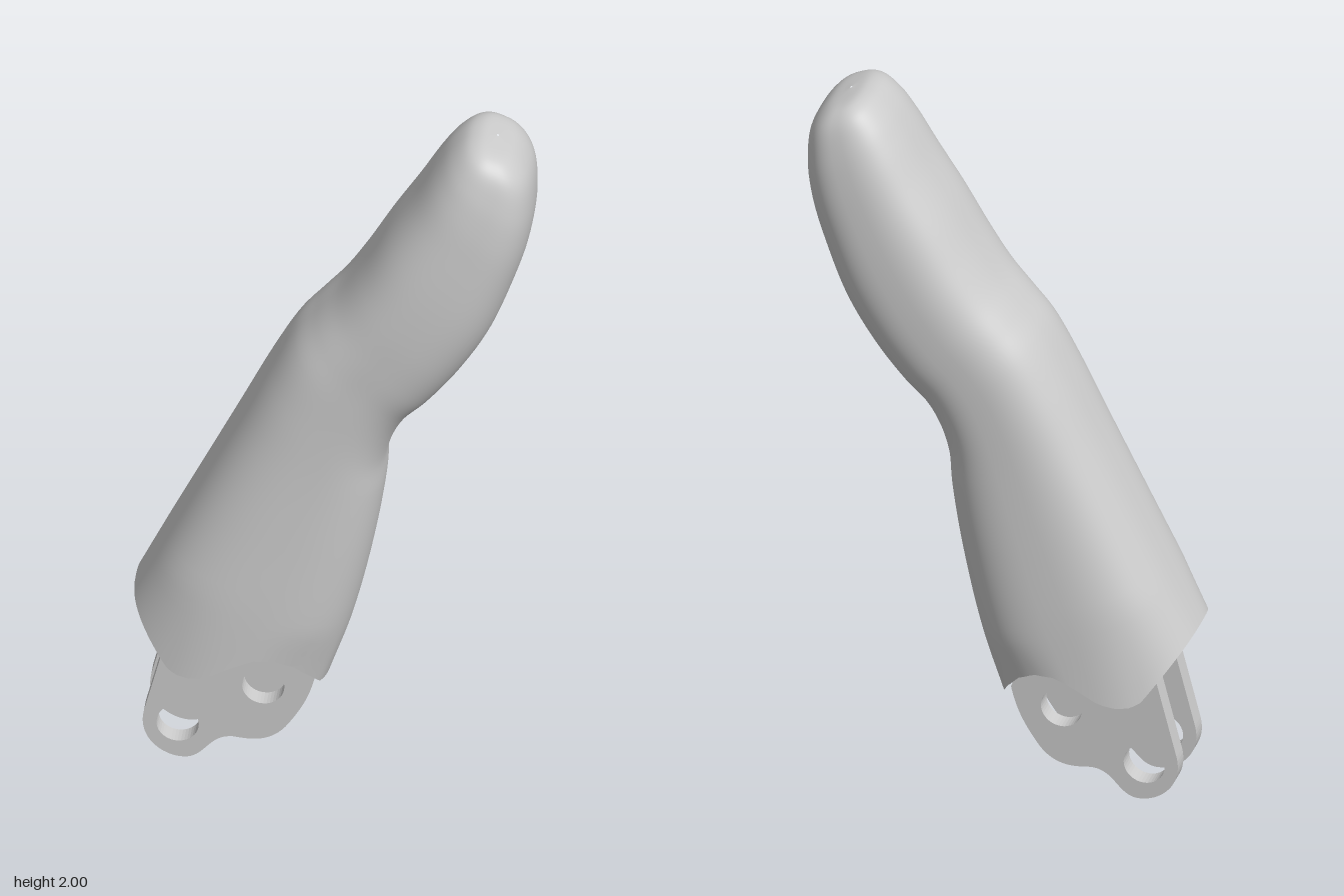
import * as THREE from 'three';

const material = new THREE.MeshStandardMaterial({ color: 0xcccccc });
const SIDES = 96, RINGS = 84;

// Cross-sections from base to tip: back edge x,y, front edge x,y, half width
const sections = [
  [-.54, .50, -.01, .28, .24], [-.47, .64, .05, .46, .235], [-.37, .84, .105, .70, .222],
  [-.27, 1.04, .133, .88, .212], [-.18, 1.22, .14, .98, .208], [-.11, 1.34, .165, 1.06, .207],
  [-.05, 1.41, .20, 1.12, .207], [.01, 1.48, .26, 1.18, .21], [.07, 1.57, .34, 1.28, .213],
  [.14, 1.69, .42, 1.41, .21], [.21, 1.80, .48, 1.56, .20], [.27, 1.90, .52, 1.69, .187],
  [.31, 1.955, .535, 1.80, .17], [.35, 1.99, .525, 1.90, .145], [.385, 2.0, .485, 1.96, .105],
  [.43, 1.99, .435, 1.988, .004],
];

// Wavy line along which the base is cut
const cut = [[-.54, .5], [-.435, .355], [-.41, .34], [-.37, .335], [-.32, .345], [-.26, .38],
  [-.2, .405], [-.14, .4], [-.09, .37], [-.05, .32], [-.03, .285], [-.01, .28]];
function cutHeight(x) {
  let i = 1;
  while (i < cut.length - 1 && x > cut[i][0]) i++;
  const [x0, y0] = cut[i - 1], [x1, y1] = cut[i];
  return y0 + (y1 - y0) * (x - x0) / (x1 - x0);
}

function makeGeometry(positions, index) {
  const geometry = new THREE.BufferGeometry();
  geometry.setAttribute('position', new THREE.Float32BufferAttribute(positions, 3));
  geometry.setIndex(index);
  geometry.computeVertexNormals();
  return geometry;
}

const round = (v) => Math.sign(v) * Math.abs(v) ** (2 / 2.7);

// Rounded-box rings swept along the bent finger
function fingerRings() {
  const back = new THREE.CatmullRomCurve3(sections.map((s) => new THREE.Vector3(s[0], s[1], s[4])));
  const front = new THREE.CatmullRomCurve3(sections.map((s) => new THREE.Vector3(s[2], s[3], 0)));
  const positions = [];
  for (let i = 0; i <= RINGS; i++) {
    const u = i / RINGS;
    const b = back.getPoint(u), f = front.getPoint(u);
    const fade = Math.max(0, 1 - u * (sections.length - 1));
    for (let j = 0; j < SIDES; j++) {
      const t = (j / SIDES) * Math.PI * 2;
      const k = (1 + round(Math.cos(t))) / 2;
      const x = b.x + (f.x - b.x) * k;
      const line = .5 - .22 * k;
      const y = b.y + (f.y - b.y) * k + fade * (cutHeight(-.54 + .53 * k) - line);
      positions.push(x, y, b.z * round(Math.sin(t)));
    }
  }
  return positions;
}

function createFinger() {
  const positions = fingerRings();
  const index = [];
  for (let i = 0; i < RINGS; i++) {
    for (let j = 0; j < SIDES; j++) {
      const a = i * SIDES + j, b = i * SIDES + (j + 1) % SIDES;
      index.push(a, a + SIDES, b, b, a + SIDES, b + SIDES);
    }
  }
  const shell = new THREE.Mesh(makeGeometry(positions, index), material);
  shell.name = 'fingerBody';

  // Underside joins mirrored points of the first ring
  const under = [];
  for (let j = 0; j < SIDES / 2; j++) {
    const a = j, b = j + 1, c = (SIDES - j) % SIDES, d = SIDES - j - 1;
    under.push(a, b, c, b, d, c);
  }
  const base = new THREE.Mesh(makeGeometry(positions.slice(0, SIDES * 3), under), material);
  base.name = 'fingerUnderside';
  return [shell, base];
}

// Hinge plate with two pin holes
function hingeGeometry() {
  const shape = new THREE.Shape();
  shape.moveTo(-.42, .45);
  shape.lineTo(-.45, .36);
  shape.lineTo(-.505, .145);
  shape.bezierCurveTo(-.525, .06, -.46, .003, -.4, .003);
  shape.bezierCurveTo(-.34, .003, -.335, .08, -.265, .078);
  shape.bezierCurveTo(-.22, .072, -.17, .065, -.125, .12);
  shape.bezierCurveTo(-.085, .175, -.06, .22, -.045, .29);
  shape.lineTo(-.07, .36);
  shape.lineTo(-.18, .45);
  for (const [x, y] of [[-.415, .11], [-.185, .247]]) {
    const hole = new THREE.Path();
    hole.absarc(x, y, .057, 0, Math.PI * 2, true);
    shape.holes.push(hole);
  }
  return new THREE.ExtrudeGeometry(shape, { depth: .053, bevelEnabled: false, curveSegments: 20 });
}

export function createModel() {
  const group = new THREE.Group();
  group.name = 'fingerTip';
  group.add(...createFinger());

  const geometry = hingeGeometry();
  for (const [name, z] of [['frontHingePlate', .062], ['backHingePlate', -.115]]) {
    const plate = new THREE.Mesh(geometry, material);
    plate.name = name;
    plate.position.z = z;
    group.add(plate);
  }

  // Small stop between the plates
  const stop = new THREE.Mesh(new THREE.BoxGeometry(.03, .1, .124), material);
  stop.name = 'hingeStop';
  stop.position.set(-.062, .308, 0);
  group.add(stop);
  return group;
}
